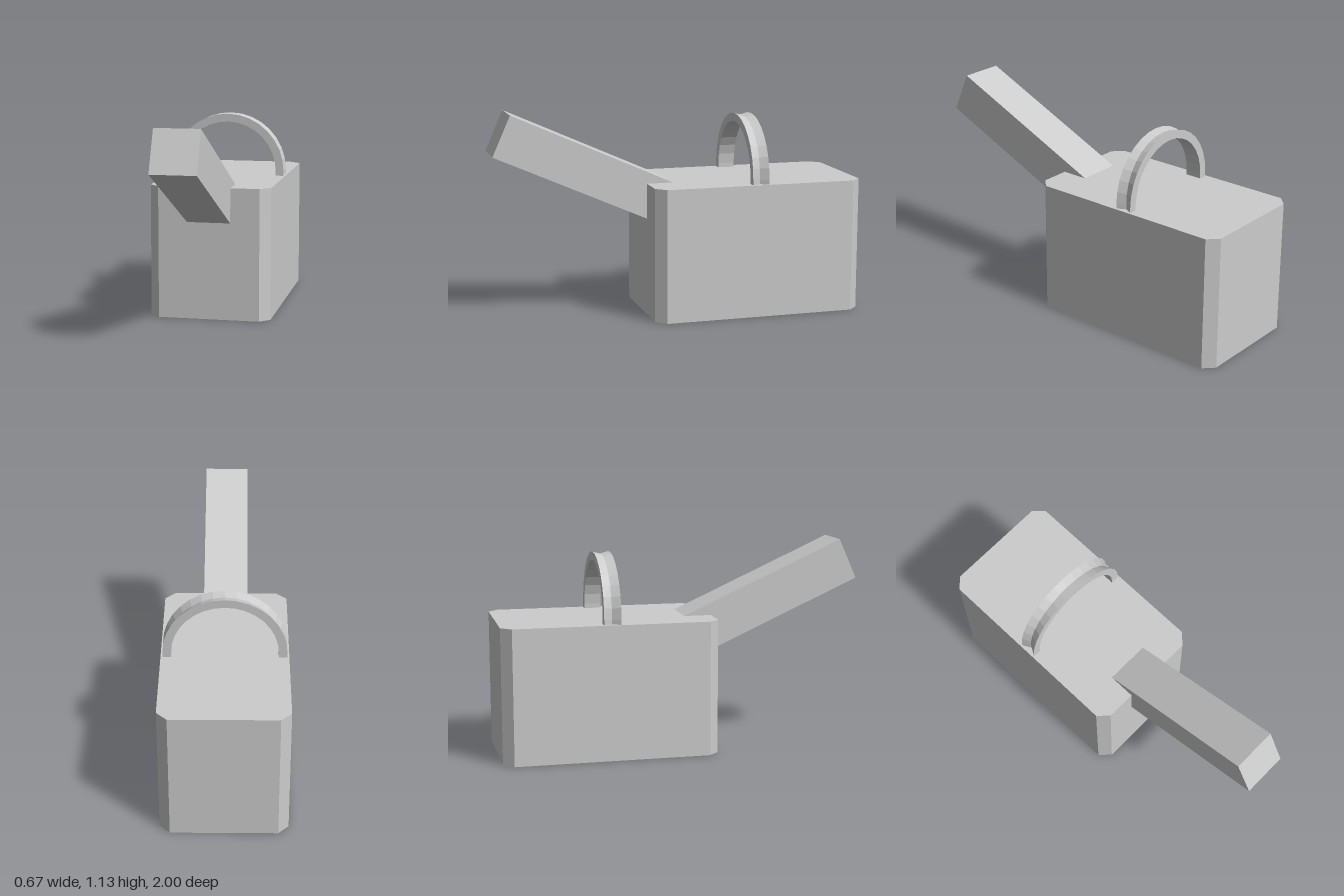
import * as THREE from 'three';

const material = new THREE.MeshStandardMaterial({ color: 0xcccccc, flatShading: true });

function part(name, geometry) {
  const mesh = new THREE.Mesh(geometry, material);
  mesh.name = name;
  return mesh;
}

function extrude(points, depth) {
  const shape = new THREE.Shape(points.map(([x, y]) => new THREE.Vector2(x, y)));
  return new THREE.ExtrudeGeometry(shape, { depth, bevelEnabled: false });
}

// Arched handle: a channel section, grooved along its outside, swept over a half circle
function archGeometry() {
  const inner = 0.28, outer = 0.325, half = 0.046, centreY = 0.755, footY = 0.72, segments = 16;
  const position = [], index = [];
  const ring = (angle, y0) => {
    const groove = outer - 0.025 + 0.013 * Math.sin(angle);
    const section = [[outer, half], [groove, 0], [outer, -half], [inner, -half], [inner, half]];
    for (const [r, z] of section) position.push(r * Math.cos(angle), y0 + r * Math.sin(angle), z);
  };
  ring(0, footY);
  for (let i = 0; i <= segments; i++) ring(Math.PI * i / segments, centreY);
  ring(Math.PI, footY);

  const rings = segments + 3, n = 5;
  for (let i = 0; i < rings - 1; i++) {
    for (let j = 0; j < n; j++) {
      const a = i * n + j, b = i * n + (j + 1) % n;
      index.push(a, b, b + n, a, b + n, a + n);
    }
  }
  const geometry = new THREE.BufferGeometry();
  geometry.setAttribute('position', new THREE.Float32BufferAttribute(position, 3));
  geometry.setIndex(index);
  const flat = geometry.toNonIndexed();
  flat.computeVertexNormals();
  return flat;
}

export function createModel() {
  const group = new THREE.Group();
  group.name = 'wateringCan';

  // Tank: a box with its four upright edges cut off
  const w = 0.335, l = 0.583, c = 0.055;
  const tank = extrude([
    [w, -l + c], [w, l - c], [w - c, l], [-w + c, l],
    [-w, l - c], [-w, -l + c], [-w + c, -l], [w - c, -l],
  ], 0.73);
  tank.rotateX(-Math.PI / 2).translate(0, 0, -0.417);
  group.add(part('tank', tank));

  // Spout: slanting square bar, its profile drawn as (z, y)
  const spout = extrude([[0.165, 0.537], [1, 0.91], [0.903, 1.127], [0.02, 0.73]], 0.24);
  spout.rotateY(-Math.PI / 2).translate(0.12, 0, 0);
  group.add(part('spout', spout));

  const handle = part('handle', archGeometry());
  handle.position.z = -0.415;
  group.add(handle);

  return group;
}
